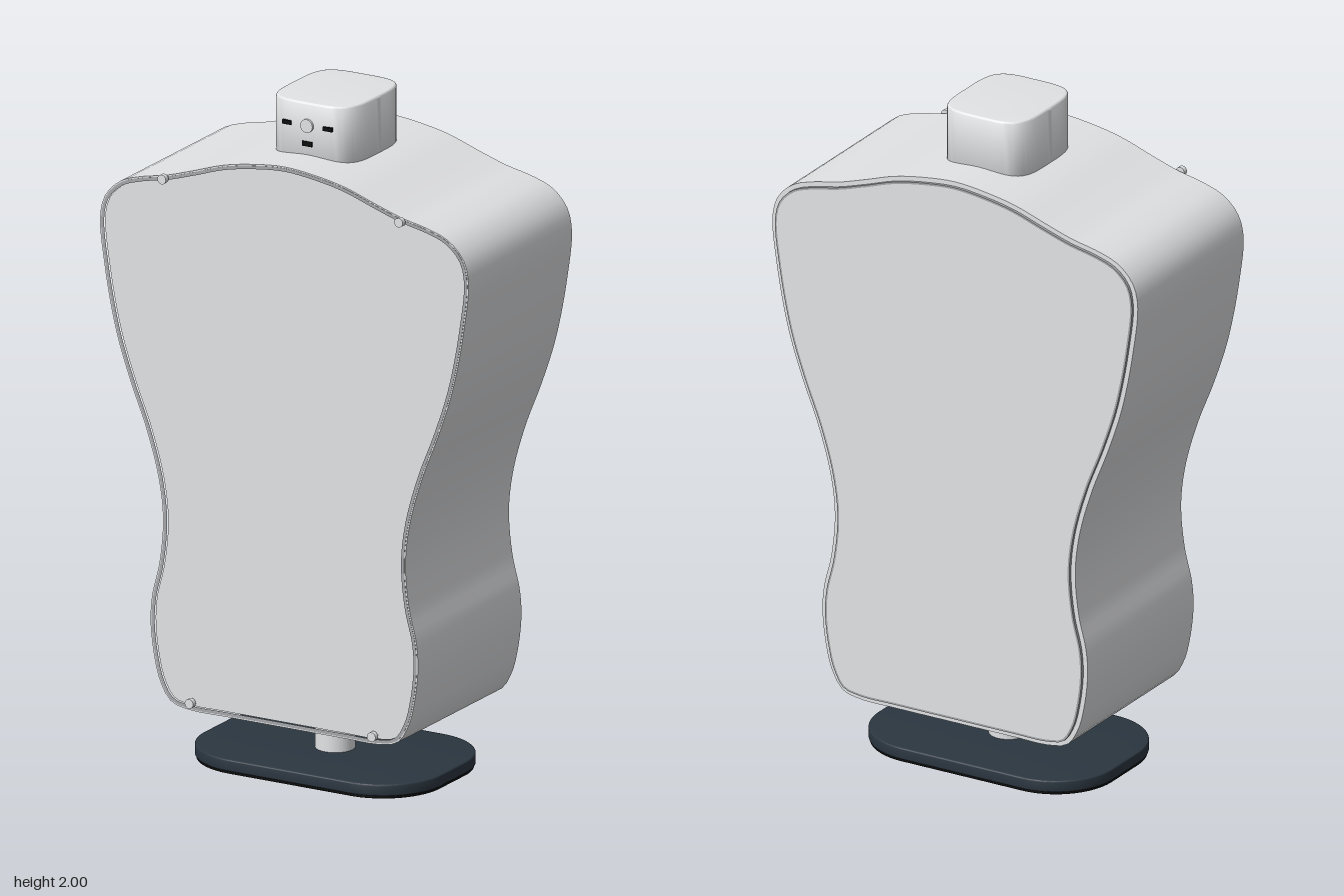
import * as THREE from 'three';
import { toCreasedNormals } from 'three/addons/utils/BufferGeometryUtils.js';

const material = (name, color) => {
  const m = new THREE.MeshStandardMaterial({ color });
  m.name = name;
  return m;
};

// Right half of the torso outline, from top centre to bottom centre
const HALF = [
  [0, 1.846], [0.1, 1.837], [0.2, 1.818], [0.3, 1.785], [0.39, 1.757], [0.47, 1.74], [0.54, 1.715],
  [0.588, 1.668], [0.606, 1.605], [0.592, 1.46], [0.554, 1.27], [0.508, 1.13], [0.453, 0.99], [0.413, 0.85],
  [0.399, 0.73], [0.411, 0.6], [0.435, 0.5], [0.44, 0.42], [0.428, 0.32], [0.409, 0.25],
  [0.373, 0.195], [0.31, 0.179], [0.2, 0.178], [0, 0.178],
];

function torsoOutline() {
  const left = HALF.slice(1, -1).reverse().map(([x, y]) => [-x, y]);
  const points = [...HALF, ...left].map(([x, y]) => new THREE.Vector3(x, y, 0));
  return new THREE.CatmullRomCurve3(points, true).getSpacedPoints(200).slice(0, -1)
    .map((p) => new THREE.Vector2(p.x, p.y));
}

// Moves a clockwise outline inward along its normals
function inset(points, d) {
  const n = points.length;
  return points.map((p, i) => {
    const t = points[(i + 1) % n].clone().sub(points[(i + n - 1) % n]).normalize();
    return new THREE.Vector2(p.x + t.y * d, p.y - t.x * d);
  });
}

// Extrudes an outline, with an optional hole, between two z values
function slab(outline, z0, z1, hole) {
  const shape = new THREE.Shape(outline);
  if (hole) shape.holes.push(new THREE.Path(hole));
  const g = new THREE.ExtrudeGeometry(shape, { depth: z1 - z0, bevelEnabled: false });
  g.translate(0, 0, z0);
  return toCreasedNormals(g, 0.6);
}

// Upright block with softened top and bottom edges
function uprightBlock(shape, y0, y1, bevel, crease) {
  const g = new THREE.ExtrudeGeometry(shape, {
    depth: y1 - y0 - 2 * bevel, bevelEnabled: true, bevelThickness: bevel,
    bevelSize: bevel, bevelOffset: -bevel, bevelSegments: 4, curveSegments: 14,
  });
  g.rotateX(-Math.PI / 2).translate(0, y0 + bevel, 0);
  return toCreasedNormals(g, crease);
}

function roundedRect(w, d, r) {
  const x = w / 2, y = d / 2;
  const s = new THREE.Shape();
  s.moveTo(-x + r, -y).lineTo(x - r, -y);
  s.absarc(x - r, -y + r, r, -Math.PI / 2, 0);
  s.absarc(x - r, y - r, r, 0, Math.PI / 2);
  s.absarc(-x + r, y - r, r, Math.PI / 2, Math.PI);
  s.absarc(-x + r, -y + r, r, Math.PI, Math.PI * 1.5);
  return s;
}

// Superellipse: a square with gently bulging sides
function squircle(w, d) {
  const points = [];
  for (let i = 0; i < 72; i++) {
    const a = (i / 72) * Math.PI * 2, c = Math.cos(a), s = Math.sin(a);
    const k = Math.pow(c ** 4 + s ** 4, -0.25);
    points.push(new THREE.Vector2((c * k * w) / 2, (s * k * d) / 2));
  }
  return new THREE.Shape(points);
}

export function createModel() {
  const model = new THREE.Group();
  const grey = material('light grey', 0xe2e3e5);
  const trimGrey = material('trim grey', 0xa4a7aa);
  const slate = material('dark slate', 0x2b3640);
  const black = material('black', 0x0b0b0b);

  const add = (name, geometry, mat, x = 0, y = 0, z = 0) => {
    const mesh = new THREE.Mesh(geometry, mat);
    mesh.name = name;
    mesh.position.set(x, y, z);
    model.add(mesh);
  };

  // Torso: a deep shell closed by a recessed front and a raised back plate
  const outline = torsoOutline();
  const edge = inset(outline, 0.004);
  const inner = inset(outline, 0.014);
  const backInner = inset(outline, 0.02);
  add('torsoShell', slab(outline, -0.295, 0.279, edge), grey);
  add('frontPanel', slab(inner, 0.25, 0.274), grey);
  add('backPanel', slab(backInner, -0.304, -0.28), grey);

  // Trim around the front opening and the back plate
  add('frontTrim', slab(edge, 0.25, 0.28, inner), trimGrey);
  add('backSeat', slab(edge, -0.295, -0.28, inner), grey);
  add('backTrim', slab(inner, -0.304, -0.28, backInner), trimGrey);

  // Pegs in front of the four corners
  for (const side of [-1, 1]) {
    for (const [x, y] of [[0.39, 1.75], [0.3, 0.205]]) {
      const peg = new THREE.CylinderGeometry(0.014, 0.014, 0.015, 16).rotateX(Math.PI / 2);
      add('peg', peg, grey, side * x, y, 0.295);
    }
  }

  // Head
  add('head', uprightBlock(squircle(0.28, 0.32), 1.81, 2, 0.008, 0.7), grey, 0, 0, -0.01);

  // Face: two eyes, a mouth and a round nose
  for (const side of [-1, 1]) {
    add('eye', new THREE.BoxGeometry(0.029, 0.012, 0.009), black, side * 0.067, 1.933, 0.15);
  }
  add('mouth', new THREE.BoxGeometry(0.032, 0.014, 0.009), black, 0, 1.879, 0.15);
  const nose = new THREE.CylinderGeometry(0.02, 0.02, 0.012, 20).rotateX(Math.PI / 2);
  add('nose', nose, grey, 0, 1.933, 0.151);

  // Stand with a dark sole
  add('post', new THREE.CylinderGeometry(0.057, 0.057, 0.17, 40), grey, 0, 0.115, -0.004);
  add('base', uprightBlock(roundedRect(0.78, 0.52, 0.19), 0.008, 0.043, 0.005, 0.5), slate, 0, 0, -0.004);
  add('sole', uprightBlock(roundedRect(0.772, 0.512, 0.186), 0, 0.012, 0.002, 0.5), black, 0, 0, -0.004);

  return model;
}
